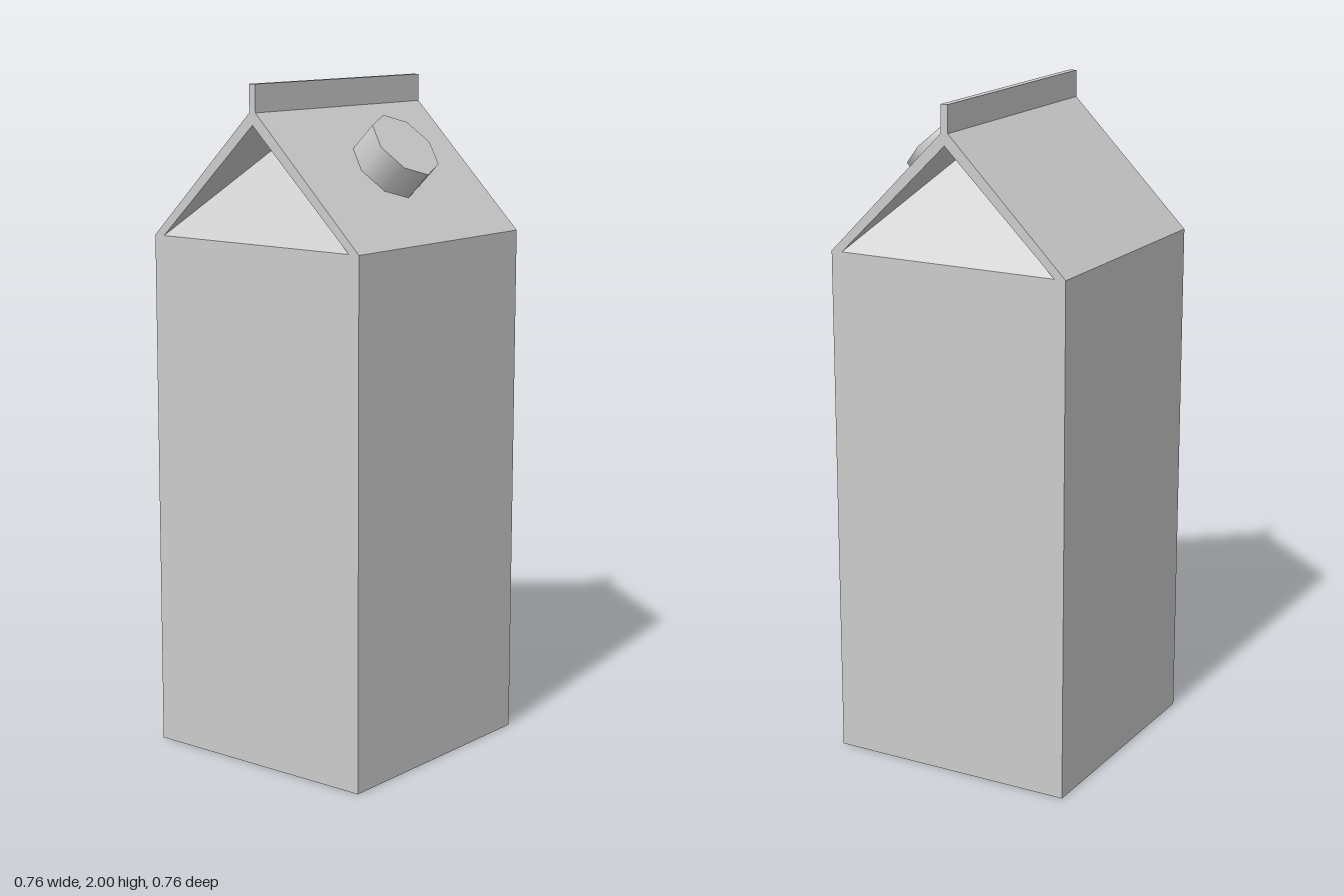
import * as THREE from 'three';

const HALF = 0.38;      // half width and depth of the carton
const SHOULDER = 1.55;  // height where the roof starts
const FIN = 0.011;      // half thickness of the top seam

export function createModel() {
  const group = new THREE.Group();
  const material = new THREE.MeshStandardMaterial({ color: 0xcccccc });
  const panelMaterial = new THREE.MeshStandardMaterial({ color: 0xcccccc, side: THREE.DoubleSide });

  const add = (name, geometry, mat = material) => {
    const mesh = new THREE.Mesh(geometry, mat);
    mesh.name = name;
    group.add(mesh);
    return mesh;
  };

  // Square carton body
  add('body', new THREE.BoxGeometry(2 * HALF, SHOULDER, 2 * HALF)).position.y = SHOULDER / 2;

  // Roof slopes and upright seam, one folded section run front to back
  const section = new THREE.Shape([
    [HALF, SHOULDER], [FIN, 1.92], [FIN, 2], [-FIN, 2], [-FIN, 1.92],
    [-HALF, SHOULDER], [-0.345, SHOULDER], [0, 1.885], [0.345, SHOULDER],
  ].map(([x, y]) => new THREE.Vector2(x, y)));
  const roof = new THREE.ExtrudeGeometry(section, { depth: 2 * HALF, bevelEnabled: false });
  roof.translate(0, 0, -HALF);
  add('roof', roof);

  // Gable panels folded inwards under the roof, front and back
  for (const side of [1, -1]) {
    const gable = new THREE.BufferGeometry();
    gable.setAttribute('position', new THREE.Float32BufferAttribute([
      -0.345 * side, SHOULDER, HALF * side,
      0.345 * side, SHOULDER, HALF * side,
      0, 1.885, (HALF - 0.25) * side,
    ], 3));
    gable.computeVertexNormals();
    add(side > 0 ? 'frontGable' : 'backGable', gable, panelMaterial);
  }

  // Eight-sided screw cap standing square on the left slope
  const cap = add('cap', new THREE.CylinderGeometry(0.115, 0.115, 0.1, 8));
  cap.position.set(0.215, 1.785, 0);
  cap.rotation.z = -Math.PI / 4;

  return group;
}
